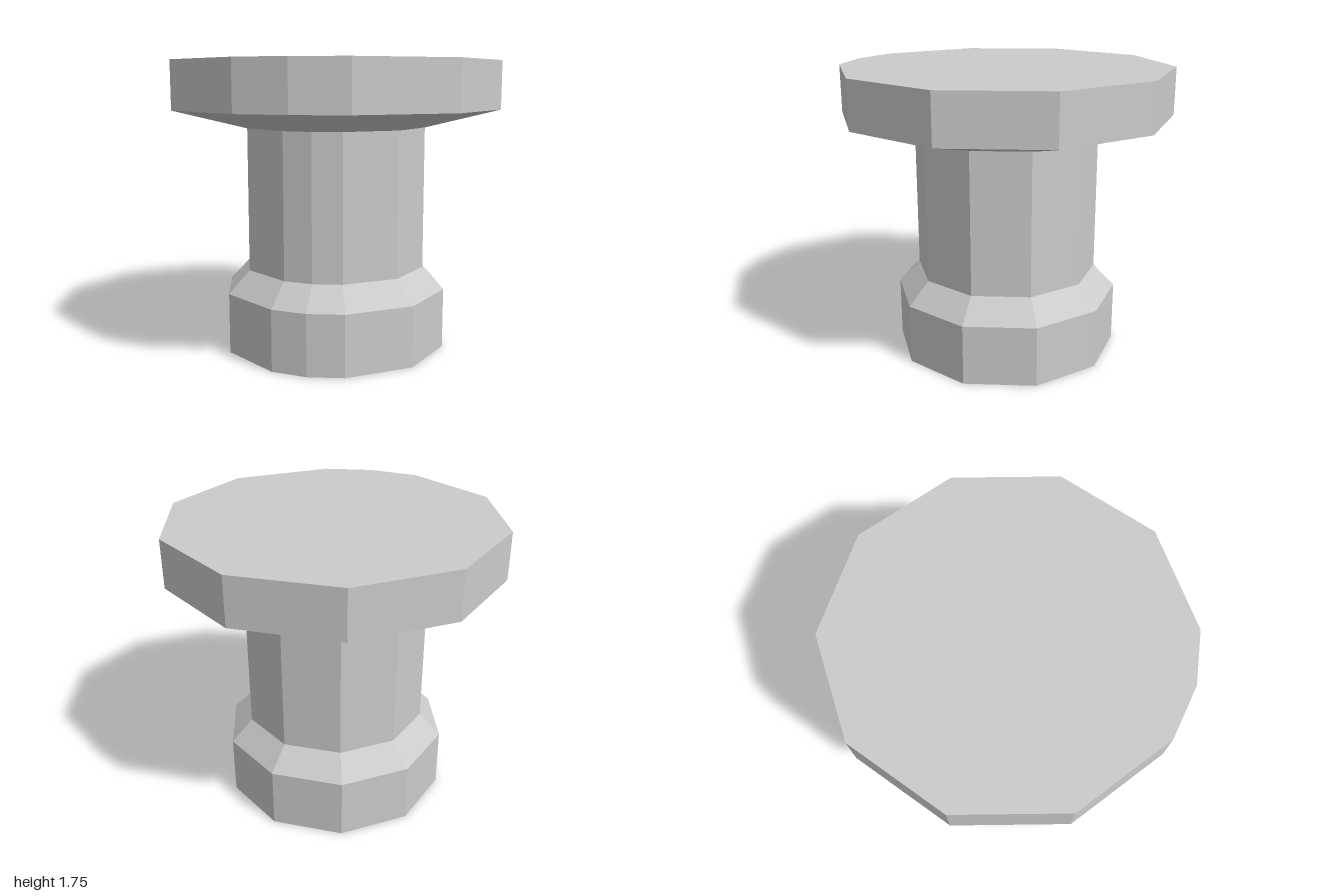
import * as THREE from 'three';

// Ten-sided outline with one extra corner at the front left
const angles = [0, 18, 36, 72, 108, 144, 180, 216, 252, 288, 324]
  .map(THREE.MathUtils.degToRad);

const ring = (r, y) => angles.map(a => [r * Math.sin(a), y, r * Math.cos(a)]);

// Flat-sided band between two rings, with optional end caps
function band(name, [r0, y0], [r1, y1], cap) {
  const lower = ring(r0, y0), upper = ring(r1, y1), pos = [];
  const tri = (...corners) => corners.forEach(c => pos.push(...c));
  angles.forEach((_, i) => {
    const j = (i + 1) % angles.length;
    tri(lower[i], lower[j], upper[j]);
    tri(lower[i], upper[j], upper[i]);
    if (cap === 'bottom') tri([0, y0, 0], lower[j], lower[i]);
    if (cap === 'top') tri([0, y1, 0], upper[i], upper[j]);
  });
  const geometry = new THREE.BufferGeometry();
  geometry.setAttribute('position', new THREE.Float32BufferAttribute(pos, 3));
  geometry.computeVertexNormals();
  const mesh = new THREE.Mesh(geometry,
    new THREE.MeshStandardMaterial({ color: 0xcccccc, flatShading: true }));
  mesh.name = name;
  return mesh;
}

export function createModel() {
  const group = new THREE.Group();
  group.name = 'pedestal';

  // [radius, height] steps from the floor to the top
  const profile = [[0.688, 0], [0.688, 0.365], [0.557, 0.5], [0.557, 1.357], [1, 1.467], [1, 1.752]];
  const names = ['base', 'baseCollar', 'shaft', 'topFlare', 'top'];
  const caps = { base: 'bottom', top: 'top' };

  names.forEach((name, i) => group.add(band(name, profile[i], profile[i + 1], caps[name])));
  return group;
}
